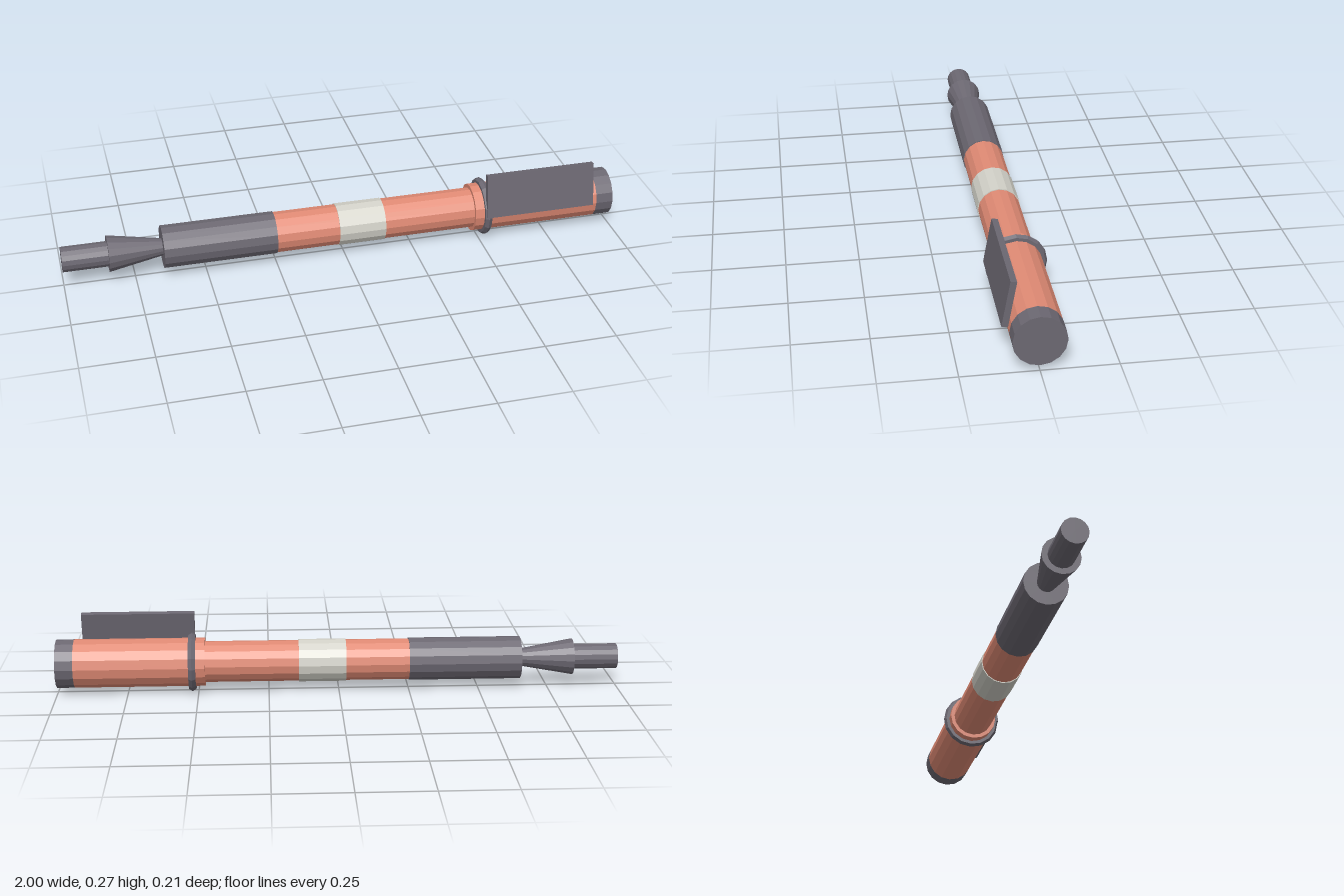
import * as THREE from 'three';

const AXIS_Y = 0.105;
const SIDES = 16;

function material(name, color) {
  const m = new THREE.MeshStandardMaterial({ color, flatShading: true });
  m.name = name;
  return m;
}

export function createModel() {
  const group = new THREE.Group();
  group.name = 'pen';
  const grey = material('dark grey', 0x6c6872);
  const orange = material('coral', 0xe08a74);
  const white = material('off white', 0xd3d2c9);

  // Round section along x, from x0 (radius r0) to x1 (radius r1)
  function section(name, mat, x0, x1, r0, r1 = r0) {
    const geo = new THREE.CylinderGeometry(r0, r1, x1 - x0, SIDES);
    geo.rotateZ(Math.PI / 2); // cylinder top now faces -x
    const mesh = new THREE.Mesh(geo, mat);
    mesh.name = name;
    mesh.position.set((x0 + x1) / 2, AXIS_Y, 0);
    group.add(mesh);
  }

  section('tip', grey, -1, -0.83, 0.045);
  section('nozzle', grey, -0.84, -0.645, 0.065, 0.03);
  section('grip', grey, -0.65, -0.25, 0.076);
  section('barrel', orange, -0.25, 0.48, 0.073);
  section('band', white, -0.025, 0.143, 0.076);
  section('cap', orange, 0.475, 0.937, 0.0863);
  section('capEnd', grey, 0.937, 1, 0.0863);

  // Ring that holds the clip
  const ringGeo = new THREE.TorusGeometry(0.0905, 0.0145, 6, SIDES);
  ringGeo.rotateY(Math.PI / 2);
  const ring = new THREE.Mesh(ringGeo, grey);
  ring.name = 'clipRing';
  ring.position.set(0.521, AXIS_Y, 0);
  group.add(ring);

  // Flat clip leaning against the cap
  const clip = new THREE.Mesh(new THREE.BoxGeometry(0.402, 0.16, 0.021), grey);
  clip.name = 'clip';
  clip.position.set(0.714, 0.19, 0.083);
  clip.rotation.x = -THREE.MathUtils.degToRad(10);
  group.add(clip);

  return group;
}
